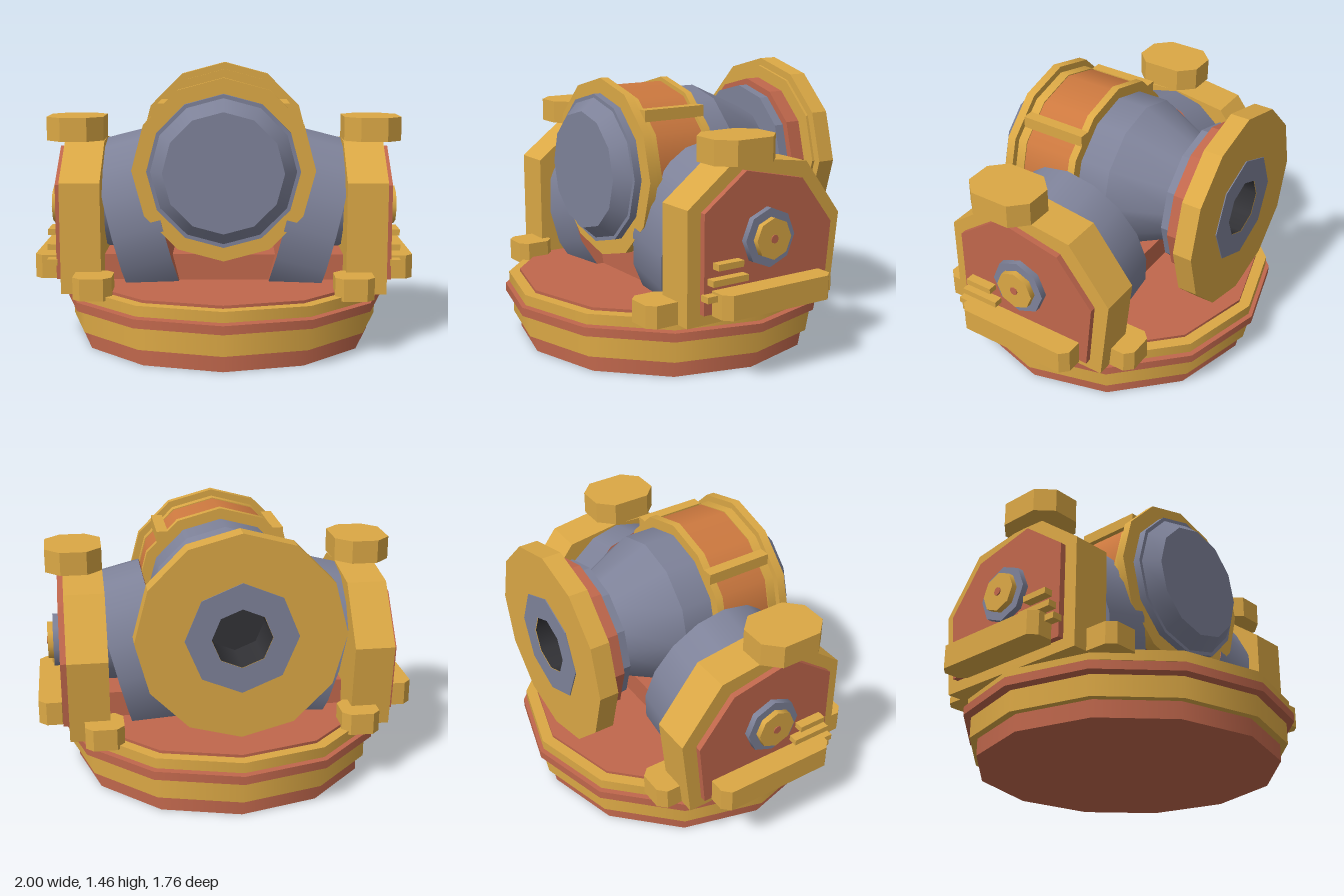
import * as THREE from 'three';

const mat = (name, color, side = THREE.FrontSide) => {
  const m = new THREE.MeshStandardMaterial({ color, side });
  m.name = name;
  return m;
};

export function createModel() {
  const gold = mat('gold', 0xdba845);
  const red = mat('brick red', 0xc0674c);
  const blue = mat('slate blue', 0x7e8299);
  const orange = mat('orange', 0xcd793f);
  const dark = mat('dark bore', 0x323236, THREE.DoubleSide);
  const model = new THREE.Group();

  const add = (name, geo, material, x = 0, y = 0, z = 0, parent = model) => {
    const m = new THREE.Mesh(geo, material);
    m.name = name;
    m.position.set(x, y, z);
    parent.add(m);
    return m;
  };
  const group = (name, y = 0) => {
    const g = new THREE.Group();
    g.name = name;
    g.position.y = y;
    model.add(g);
    return g;
  };
  const shapeOf = (pts) => new THREE.Shape(pts.map(([x, y]) => new THREE.Vector2(x, y)));
  const ngon = (r, n) => Array.from({ length: n }, (_, i) => {
    const a = (i / n) * Math.PI * 2;
    return new THREE.Vector2(Math.sin(a) * r, Math.cos(a) * r);
  });
  const extrude = (shape, depth) => new THREE.ExtrudeGeometry(shape, { depth, bevelEnabled: false });

  // Block with cut corners in plan, centred
  const cutBlock = (w, h, d, c) => {
    const a = w / 2, b = d / 2;
    const s = shapeOf([[-a + c, -b], [a - c, -b], [a, -b + c], [a, b - c], [a - c, b], [-a + c, b], [-a, b - c], [-a, -b + c]]);
    return extrude(s, h).rotateX(-Math.PI / 2).translate(0, -h / 2, 0);
  };
  // Outline given as [z, y], thickened along x and centred
  const sidePanel = (pts, t) =>
    extrude(shapeOf(pts.map(([z, y]) => [-z, y])), t).rotateY(Math.PI / 2).translate(-t / 2, 0, 0);

  // Stepped round base
  const base = group('base');
  [
    ['baseFoot', 0.80, 0, 0.09, red], ['baseBand', 0.84, 0.09, 0.20, gold],
    ['baseGroove', 0.80, 0.20, 0.21, red], ['baseLip', 0.88, 0.21, 0.255, red],
    ['baseNeck', 0.82, 0.255, 0.265, gold], ['deckRing', 0.86, 0.265, 0.32, gold],
    ['deck', 0.80, 0.32, 0.335, red],
  ].forEach(([name, r, y0, y1, m]) =>
    add(name, new THREE.CylinderGeometry(r, r, y1 - y0, 12), m, 0, (y0 + y1) / 2, 0, base));
  add('deckPlinth', new THREE.BoxGeometry(1.28, 0.145, 0.5), red, 0, 0.4, 0, base);

  // Barrel along z
  const barrel = group('barrel', 0.94);
  const section = (name, rBack, rFront, z0, z1, m, n = 12) =>
    add(name, new THREE.CylinderGeometry(rFront, rBack, z1 - z0, n).rotateX(Math.PI / 2), m, 0, 0, (z0 + z1) / 2, barrel);
  section('frontNose', 0.375, 0.31, 0.435, 0.51, blue);
  section('frontLip', 0.395, 0.395, 0.38, 0.435, blue);
  section('frontRing', 0.475, 0.475, 0.35, 0.395, gold);
  section('frontCollar', 0.44, 0.44, 0.30, 0.35, gold);
  section('barrelBand', 0.435, 0.435, 0.01, 0.30, orange);
  section('rearRing', 0.457, 0.457, -0.02, 0.02, gold);
  section('barrelBody', 0.40, 0.40, -0.19, 0, blue);
  section('barrelTaper', 0.245, 0.40, -0.53, -0.19, blue);
  for (let i = 0; i < 4; i++) {
    const a = Math.PI / 4 + i * Math.PI / 2;
    add('barrelRib', new THREE.BoxGeometry(0.06, 0.06, 0.36), gold,
      Math.cos(a) * 0.44, Math.sin(a) * 0.44, 0.16, barrel);
  }

  // Rear flange, bored through
  const ring = (name, r, n, hole, z0, z1, m) => {
    const s = new THREE.Shape(ngon(r, n));
    s.holes.push(new THREE.Path(ngon(hole, 8)));
    add(name, extrude(s, z1 - z0), m, 0, 0, z0, barrel);
  };
  ring('rearNeck', 0.375, 12, 0.15, -0.57, -0.515, blue);
  ring('rearGasket', 0.41, 12, 0.15, -0.655, -0.57, red);
  ring('flangeStep', 0.48, 12, 0.15, -0.67, -0.655, gold);
  ring('flange', 0.52, 12, 0.15, -0.77, -0.67, gold);
  ring('flangeFace', 0.28, 8, 0.15, -0.775, -0.77, blue);
  add('boreWall', new THREE.CylinderGeometry(0.149, 0.149, 0.24, 8, 1, true).rotateX(Math.PI / 2), dark, 0, 0, -0.652, barrel);
  add('boreEnd', new THREE.CircleGeometry(0.15, 8), dark, 0, 0, -0.535, barrel);

  // Side supports, mirrored
  const plateOutline = [[0.43, 0.30], [0.43, 0.88], [0.18, 1.07], [0, 1.08], [-0.29, 1.04], [-0.515, 0.75], [-0.465, 0.30]];
  const panelOutline = [[0.355, 0.36], [0.355, 0.86], [0.11, 1.04], [-0.24, 0.965], [-0.435, 0.72], [-0.40, 0.36]];
  for (const s of [-1, 1]) {
    const side = group(s > 0 ? 'leftSupport' : 'rightSupport');
    const put = (name, geo, m, x, y = 0, z = 0) => add(name, geo, m, s * x, y, z, side);
    put('sidePlate', sidePanel(plateOutline, 0.21), gold, 0.74);
    put('sidePanel', sidePanel(panelOutline, 0.06), red, 0.847);

    // Leaning arm and trunnion
    const arm = put('supportArm', new THREE.CylinderGeometry(1, 1, 0.27, 16), [blue, blue, red], 0.45, 0.62, 0);
    arm.scale.set(0.485, 1, 0.4);
    arm.rotation.z = -s * (Math.PI / 2 + 0.25);
    put('trunnion', new THREE.CylinderGeometry(0.26, 0.26, 0.25, 12).rotateZ(Math.PI / 2), blue, 0.55, 0.73, 0);

    // Pivot bolt
    [['boltWasher', 0.15, 0.87, 0.91, blue], ['boltHead', 0.105, 0.91, 0.94, gold], ['boltPin', 0.022, 0.94, 0.945, red]]
      .forEach(([name, r, x0, x1, m]) =>
        put(name, new THREE.CylinderGeometry(r, r, x1 - x0, 8).rotateZ(Math.PI / 2), m, (x0 + x1) / 2, 0.70, -0.017));

    // Caps, step bar, slats and corner blocks
    put('topCap', cutBlock(0.30, 0.125, 0.37, 0.08), gold, 0.785, 1.14, 0.105);
    put('stepBar', cutBlock(0.16, 0.125, 0.67, 0.04), gold, 0.92, 0.417, -0.025);
    [[0.23, 0.602, 0.15], [0.23, 0.527, 0.21], [0.335, 0.452, 0.065]].forEach(([z, y, len]) =>
      put('slat', new THREE.BoxGeometry(0.055, 0.032, len), gold, 0.898, y, z));
    for (const z of [-0.49, 0.49])
      put('cornerBlock', cutBlock(0.20, 0.115, 0.20, 0.04), gold, 0.667, 0.358, z);
  }
  return model;
}
